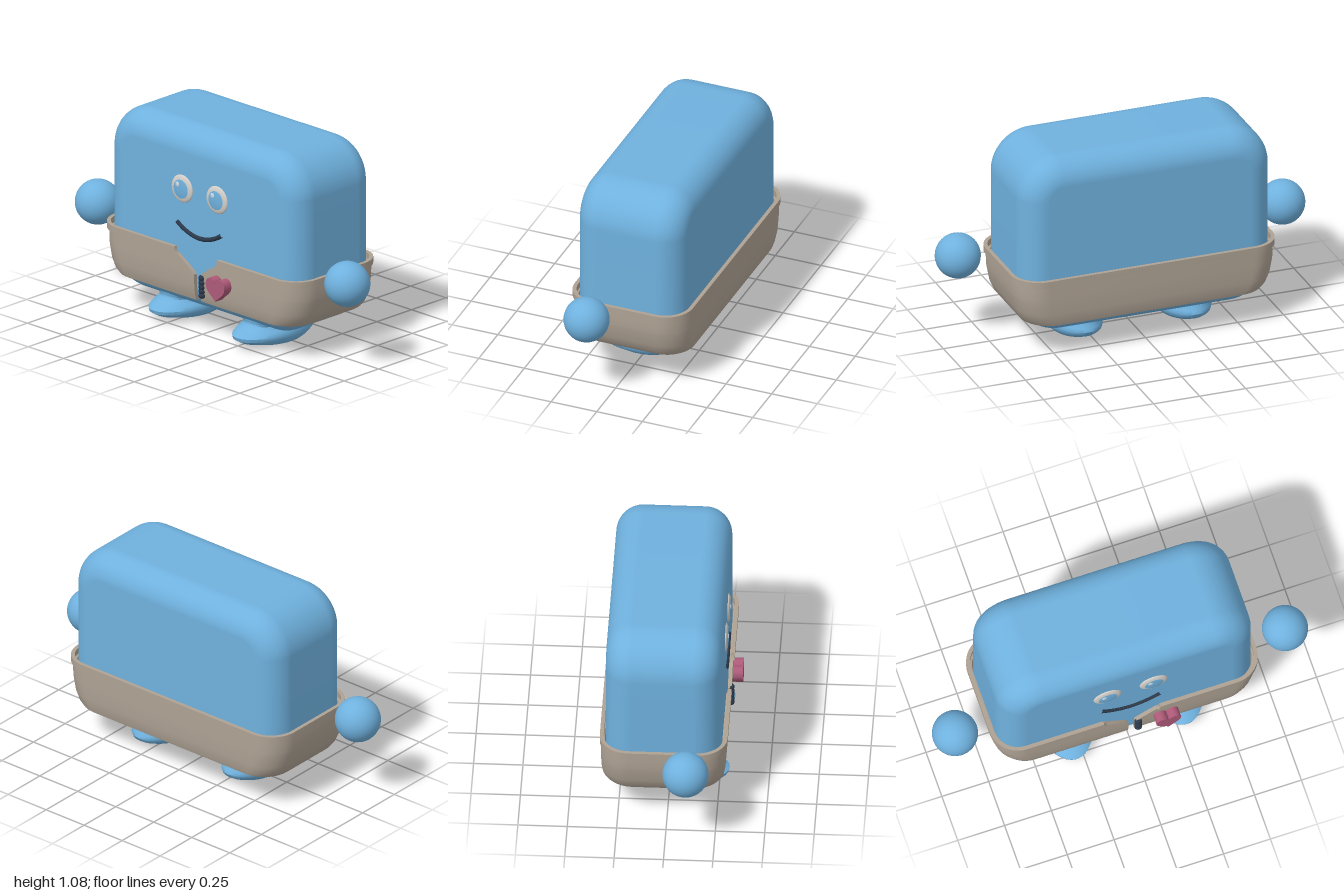
import * as THREE from 'three';
import { toCreasedNormals } from 'three/addons/utils/BufferGeometryUtils.js';

const material = (name, color, side = THREE.FrontSide) => {
  const m = new THREE.MeshStandardMaterial({ color, side });
  m.name = name;
  return m;
};

// Skin a list of equally long rows of [x, y, z] points, given bottom to top
function skin(rows, caps = []) {
  const n = rows[0].length;
  const index = [...caps];
  for (let i = 0; i < rows.length - 1; i++) {
    for (let j = 0; j < n - 1; j++) {
      const a = i * n + j, b = a + n;
      index.push(a, b, a + 1, b, b + 1, a + 1);
    }
  }
  const g = new THREE.BufferGeometry();
  g.setAttribute('position', new THREE.Float32BufferAttribute(rows.flat(2), 3));
  g.setIndex(index);
  return toCreasedNormals(g, 0.7);
}

// Pillow-edged block: a rounded rectangle with a round bevel
function bodyGeometry() {
  const bevel = 0.135, r = 0.085, hx = 0.46, y0 = 0.34, y1 = 0.865, z0 = -0.18, z1 = 0.135;
  const s = new THREE.Shape();
  s.absarc(hx, y1, r, 0, Math.PI / 2);
  s.absarc(-hx, y1, r, Math.PI / 2, Math.PI);
  s.absarc(-hx, y0, r, Math.PI, Math.PI * 1.5);
  s.absarc(hx, y0, r, Math.PI * 1.5, Math.PI * 2);
  const g = new THREE.ExtrudeGeometry(s, {
    depth: z1 - z0, bevelSize: bevel, bevelThickness: bevel, bevelSegments: 10, curveSegments: 12,
  });
  g.translate(0, 0, z0);
  // exact smooth normals, pointing away from the unbevelled core
  const p = g.attributes.position, v = new THREE.Vector3();
  for (let i = 0; i < p.count; i++) {
    v.fromBufferAttribute(p, i);
    const dx = v.x - THREE.MathUtils.clamp(v.x, -hx, hx);
    const dy = v.y - THREE.MathUtils.clamp(v.y, y0, y1);
    const k = 1 - Math.min(1, r / (Math.hypot(dx, dy) || 1e-6));
    v.set(dx * k, dy * k, v.z - THREE.MathUtils.clamp(v.z, z0, z1)).normalize();
    g.attributes.normal.setXYZ(i, v.x, v.y, v.z);
  }
  return g;
}

// Hollow trousers, open along a V-shaped slit at the front
function trousersGeometry() {
  // y, half width, front z, back z, half slit
  const profile = [
    [0.19, 0.648, 0.277, -0.326, 0.018],
    [0.215, 0.668, 0.285, -0.333, 0.018],
    [0.26, 0.686, 0.291, -0.338, 0.018],
    [0.33, 0.699, 0.294, -0.34, 0.018],
    [0.345, 0.701, 0.294, -0.34, 0.032],
    [0.385, 0.703, 0.294, -0.34, 0.09],
    [0.414, 0.703, 0.294, -0.34, 0.134],
    [0.416, 0.712, 0.302, -0.345, 0.136],
    [0.43, 0.712, 0.302, -0.345, 0.148],
    [0.45, 0.712, 0.302, -0.345, 0.15],
  ];
  const r = 0.15, steps = 10;
  const ring = ([y, hx, zf, zb, gap], t) => {
    const row = [[-gap, y, zf - t]];
    const q = r - t;
    for (let c = 0; c < 4; c++) {
      const cx = (c < 2 ? -1 : 1) * (hx - r);
      const cz = c === 0 || c === 3 ? zf - r : zb + r;
      for (let k = 0; k <= steps; k++) {
        const a = (Math.PI / 2) * (1 + c + k / steps);
        row.push([cx + q * Math.cos(a), y, cz + q * Math.sin(a)]);
      }
    }
    row.push([gap, y, zf - t]);
    return row;
  };
  const outer = profile.map((p) => ring(p, 0));
  const inner = profile.map((p) => ring(p, 0.02)).reverse();
  const rows = [...outer, ...inner, outer[0]];
  // close the cloth edges along the slit
  const n = outer[0].length, last = 2 * profile.length - 1, caps = [];
  for (let i = 0; i < profile.length - 1; i++) {
    for (const [j, flip] of [[0, false], [n - 1, true]]) {
      const a = i * n + j, b = a + n, c = (last - i) * n + j, d = c - n;
      caps.push(...(flip ? [a, c, b, b, c, d] : [a, b, c, b, d, c]));
    }
  }
  return skin(rows, caps);
}

// Soft foot, lofted from ellipses
function footGeometry() {
  // y, toe z, heel z, half width
  const sections = [
    [0.003, 0.02, 0.019, 0.001],
    [0.003, 0.13, -0.1, 0.085], [0.012, 0.19, -0.14, 0.115], [0.03, 0.26, -0.18, 0.135],
    [0.05, 0.295, -0.21, 0.144], [0.068, 0.3, -0.218, 0.145], [0.085, 0.275, -0.212, 0.14],
    [0.1, 0.235, -0.2, 0.132], [0.115, 0.215, -0.195, 0.135], [0.125, 0.21, -0.2, 0.152],
    [0.135, 0.212, -0.21, 0.18], [0.16, 0.215, -0.23, 0.19],
  ];
  const n = 36;
  return skin(sections.map(([y, zf, zb, w]) => Array.from({ length: n + 1 }, (_, j) => {
    const a = (j % n) / n * Math.PI * 2;
    return [w * Math.cos(a), y, (zf + zb) / 2 + (zf - zb) / 2 * Math.sin(a)];
  })));
}

function heartGeometry() {
  const s = new THREE.Shape();
  s.moveTo(0, -0.06);
  s.bezierCurveTo(0.02, -0.035, 0.066, -0.015, 0.066, 0.022);
  s.bezierCurveTo(0.066, 0.07, 0.012, 0.072, 0, 0.035);
  s.bezierCurveTo(-0.012, 0.072, -0.066, 0.07, -0.066, 0.022);
  s.bezierCurveTo(-0.066, -0.015, -0.02, -0.035, 0, -0.06);
  return new THREE.ExtrudeGeometry(s, { depth: 0.065, bevelEnabled: false, curveSegments: 12 });
}

export function createModel() {
  const blue = material('skin blue', 0x6fb1de);
  const tan = material('trouser tan', 0xaea294, THREE.DoubleSide);
  const white = material('eye white', 0xd2cfca);
  const glint = material('eye glint', 0xd4e6f2);
  const navy = material('dark navy', 0x2c394a);
  const pink = material('heart pink', 0xad5a78);

  const model = new THREE.Group();
  const add = (name, geometry, mat, x = 0, y = 0, z = 0, parent = model) => {
    const mesh = new THREE.Mesh(geometry, mat);
    mesh.name = name;
    mesh.position.set(x, y, z);
    parent.add(mesh);
    return mesh;
  };

  add('body', bodyGeometry(), blue);
  add('trousers', trousersGeometry(), tan);

  // Hands, feet and eyes on both sides
  const foot = footGeometry();
  const hand = new THREE.SphereGeometry(0.117, 40, 28);
  const edge = Math.asin(0.05 / 0.074);
  const cap = (from, to) => new THREE.SphereGeometry(0.074, 36, 8, 0, Math.PI * 2, from, to - from)
    .rotateX(Math.PI / 2).scale(1, 1, 0.23);
  const eyeRim = cap(edge, Math.PI / 2), iris = cap(0, edge);
  for (const [side, sx] of [['left', 1], ['right', -1]]) {
    add(side + 'Hand', hand, blue, sx * 0.881, 0.458, 0.105);
    add(side + 'Foot', foot, blue, sx * 0.295);
    const eye = new THREE.Group();
    eye.name = side + 'Eye';
    eye.position.set(sx * 0.123, 0.76, 0.27);
    add('eyeRim', eyeRim, white, 0, 0, 0, eye);
    add('iris', iris, blue, 0, 0, 0, eye);
    add('glint', new THREE.SphereGeometry(0.014, 16, 10).scale(1, 1, 0.25), glint, -0.02, 0.022, 0.0145, eye);
    model.add(eye);
  }

  // Smile
  const smile = new THREE.QuadraticBezierCurve3(
    new THREE.Vector3(-0.158, 0.578, 0.271),
    new THREE.Vector3(0, 0.468, 0.271),
    new THREE.Vector3(0.158, 0.578, 0.271));
  add('mouth', new THREE.TubeGeometry(smile, 32, 0.012, 10), navy);

  // Zip teeth beside the slit
  const tooth = new THREE.SphereGeometry(0.02, 16, 12).scale(1, 0.8, 0.8);
  for (let i = 0; i < 5; i++) add('zipTooth', tooth, navy, 0.035, 0.23 + i * 0.0235, 0.291);

  add('heart', heartGeometry(), pink, 0.18, 0.306, 0.28);
  return model;
}
